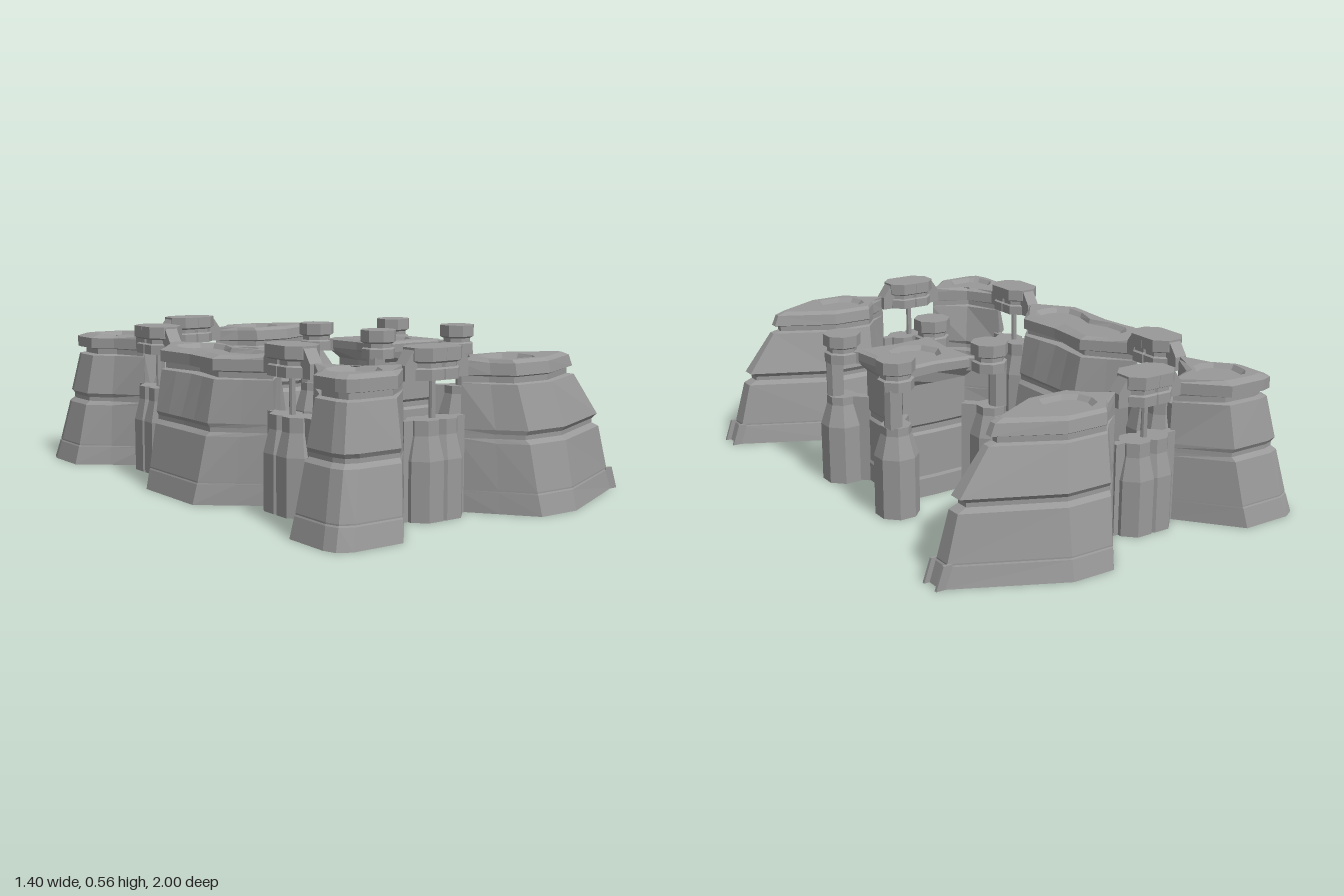
import * as THREE from 'three';

const mat = new THREE.MeshStandardMaterial({ color: 0x999999, flatShading: true, side: THREE.DoubleSide });

function add(parent, geo, name, x = 0, y = 0, z = 0) {
  const m = new THREE.Mesh(geo, mat);
  m.name = name;
  m.position.set(x, y, z);
  parent.add(m);
  return m;
}

// Joins stacked rings of [x, z] points; open below, closed on top
function loft(rings) {
  const n = rings[0].pts.length, pos = [], idx = [];
  let area = 0;
  rings[0].pts.forEach(([x, z], i, a) => {
    const [x2, z2] = a[(i + 1) % n];
    area += x * z2 - x2 * z;
  });
  const tri = (a, b, c) => (area > 0 ? idx.push(a, c, b) : idx.push(a, b, c));
  for (const r of rings) for (const [x, z] of r.pts) pos.push(x, r.y, z);
  for (let k = 0; k + 1 < rings.length; k++) {
    for (let i = 0; i < n; i++) {
      const j = (i + 1) % n, a = k * n, b = a + n;
      tri(a + i, a + j, b + j);
      tri(a + i, b + j, b + i);
    }
  }
  const last = rings[rings.length - 1], o = (rings.length - 1) * n;
  const c = [0, 1].map(q => last.pts.reduce((s, p) => s + p[q], 0) / n);
  pos.push(c[0], last.y, c[1]);
  for (let i = 0; i < n; i++) tri(o + i, o + (i + 1) % n, o + n);
  const g = new THREE.BufferGeometry();
  g.setAttribute('position', new THREE.Float32BufferAttribute(pos, 3));
  g.setIndex(idx);
  g.computeVertexNormals();
  return g;
}

const mix = (a, b, t) => a.map((p, i) => p.map((v, q) => v + (b[i][q] - v) * t));
const circle = (pts, cx, cz, r) => pts.map(([x, z]) => {
  const a = Math.atan2(z - cz, x - cx);
  return [cx + r * Math.cos(a), cz + r * Math.sin(a)];
});

// Height and blend: 0 = base outline, 1 = middle outline, 2 = top outline
const lower = [[0, 0], [0.07, 0.28], [0.075, 0.33], [0.08, 0.33], [0.235, 0.85],
  [0.25, 1.12], [0.265, 1.12], [0.28, 0.95]];
const bluntUpper = [[0.43, 1.5], [0.435, 1.9], [0.455, 1.9], [0.46, 1.4], [0.5, 1.4], [0.512, 2]];
const prowUpper = [[0.43, 1.65], [0.435, 1.85], [0.455, 1.85], [0.46, 1.7], [0.5, 1.8], [0.512, 2]];

// Stepped tower with a sunken deck on its roof
function tower(base, mid, top, upper, rim, floor) {
  const rings = [...lower, ...upper].map(([y, t]) => ({
    y, pts: t <= 1 ? mix(base, mid, t) : mix(mid, top, t - 1)
  }));
  rings.push({ y: 0.512, pts: rim }, { y: 0.495, pts: floor });
  return loft(rings);
}

// Eight-sided turned shape with flats facing the axes
function turned(profile) {
  const g = new THREE.LatheGeometry(profile.map(p => new THREE.Vector2(...p)), 8);
  return g.rotateY(Math.PI / 8);
}

// Gate between two towers, running along x
function gate(name, x, z, turn) {
  const g = new THREE.Group();
  g.name = name;
  g.position.set(x, 0, z);
  g.rotation.y = turn;
  for (const s of [-1, 1]) {
    add(g, turned([[0.078, 0], [0.078, 0.2], [0.058, 0.28], [0.058, 0.33], [0, 0.33]]),
      'gatePillar', s * 0.038);
    add(g, turned([[0, 0.46], [0.068, 0.46], [0.068, 0.495], [0.06, 0.5], [0.06, 0.515],
      [0.076, 0.522], [0.076, 0.565], [0, 0.565]]), 'gateCap', s * 0.03);
  }
  add(g, new THREE.CylinderGeometry(0.011, 0.011, 0.14, 8), 'gatePost', 0, 0.395);
  add(g, new THREE.BoxGeometry(0.26, 0.33, 0.03), 'gateWall', 0, 0.165);
  // Sloped lintel reaching both towers
  const s = new THREE.Shape([[-0.135, 0.46], [0.135, 0.46], [0.135, 0.51], [0.1, 0.558],
    [-0.1, 0.558], [-0.135, 0.51]].map(p => new THREE.Vector2(...p)));
  add(g, new THREE.ExtrudeGeometry(s, { depth: 0.05, bevelEnabled: false }), 'gateLintel', 0, 0, -0.025);
  return g;
}

export function createModel() {
  const root = new THREE.Group();
  root.name = 'fortress';

  for (const s of [1, -1]) {
    const flip = pts => pts.map(([x, z]) => [x, z * s]);

    // Rear corner tower with a rounded outer corner
    const cb = flip([[-0.7, 0.755], [-0.59, 0.665], [-0.48, 0.57], [-0.37, 0.68],
      [-0.27, 0.78], [-0.45, 1], [-0.64, 1], [-0.685, 0.975], [-0.7, 0.93]]);
    const cm = flip([[-0.635, 0.76], [-0.565, 0.685], [-0.48, 0.57], [-0.39, 0.69],
      [-0.272, 0.78], [-0.415, 0.945], [-0.575, 0.945], [-0.62, 0.93], [-0.635, 0.885]]);
    const ct = flip([[-0.58, 0.765], [-0.525, 0.71], [-0.48, 0.58], [-0.425, 0.725],
      [-0.278, 0.78], [-0.41, 0.89], [-0.535, 0.895], [-0.57, 0.885], [-0.58, 0.85]]);
    add(root, tower(cb, cm, ct, bluntUpper, circle(ct, -0.475, 0.785 * s, 0.095),
      circle(ct, -0.475, 0.785 * s, 0.08)), 'cornerTower');

    // Pointed front tower with its prow towards +x
    const pb = flip([[-0.03, 0.78], [0.055, 0.67], [0.14, 0.56], [0.3, 0.56], [0.68, 0.745],
      [0.68, 0.815], [0.3, 1], [0.14, 1], [0.055, 0.89]]);
    const pm = flip([[-0.028, 0.78], [0.05, 0.695], [0.12, 0.615], [0.29, 0.615], [0.598, 0.755],
      [0.598, 0.805], [0.29, 0.945], [0.12, 0.945], [0.05, 0.865]]);
    const pt = flip([[-0.025, 0.78], [0.05, 0.735], [0.1, 0.675], [0.25, 0.675], [0.43, 0.77],
      [0.43, 0.79], [0.25, 0.885], [0.1, 0.885], [0.05, 0.825]]);
    const deck = k => flip([[0.075, 0.78], [0.09, 0.73], [0.14, 0.7], [0.23, 0.7], [0.265, 0.745],
      [0.265, 0.815], [0.23, 0.86], [0.14, 0.86], [0.09, 0.83]]
      .map(([x, z]) => [0.18 + (x - 0.18) * k, 0.78 + (z - 0.78) * k]));
    add(root, tower(pb, pm, pt, prowUpper, deck(1), deck(0.85)), 'prowTower');

    // Twin fins at the foot of the prow
    for (const d of [-0.036, 0.036]) {
      const fin = new THREE.Shape([[0.64, 0], [0.7, 0], [0.672, 0.08], [0.64, 0.08]]
        .map(p => new THREE.Vector2(...p)));
      add(root, new THREE.ExtrudeGeometry(fin, { depth: 0.01, bevelEnabled: false }),
        'prowFin', 0, 0, 0.78 * s + d - 0.005);
    }

    root.add(gate('frontGate', -0.153, 0.78 * s, 0));
    root.add(gate('rearGate', -0.48, 0.455 * s, Math.PI / 2));
  }

  // Long middle tower of the rear wall, mirrored in x and z
  const quad = (tip, [sx, sz], waist) => [
    [0, tip], [sx, sz], [waist, 0], [sx, -sz], [0, -tip], [-sx, -sz], [-waist, 0], [-sx, sz]
  ].map(([x, z]) => [x - 0.48, z]);
  // Two-lobed deck needs extra points, so each outline is subdivided
  const split = pts => pts.flatMap((p, i) => [p, mix([p], [pts[(i + 1) % pts.length]], 0.5)[0]]);
  const mb = split(quad(0.345, [0.218, 0.165], 0.218));
  const mm = split(quad(0.343, [0.16, 0.18], 0.16));
  const mt = split(quad(0.335, [0.115, 0.185], 0.075));
  const eight = k => {
    const q = [[0, 0.235], [0.05, 0.225], [0.085, 0.18], [0.085, 0.1], [0.05, 0]];
    const half = [...q, ...q.slice(0, 4).reverse().map(([x, z]) => [x, -z])];
    return [...half, ...half.slice(1, 8).reverse().map(([x, z]) => [-x, z])]
      .map(([x, z]) => [x * k - 0.48, z * (k + 1) / 2]);
  };
  add(root, tower(mb, mm, mt, bluntUpper, eight(1), eight(0.82)), 'middleTower');

  // Central keep: square with hollowed sides
  const keep = new THREE.Group();
  keep.name = 'keep';
  keep.position.set(0.283, 0, -0.007);
  root.add(keep);
  const star = (corner, side) => Array.from({ length: 8 }, (_, i) => {
    const a = i * Math.PI / 4, r = i % 2 ? corner * Math.SQRT2 : side;
    return [r * Math.cos(a), r * Math.sin(a)];
  });
  const body = [[0, 0.135, 0.14], [0.07, 0.135, 0.14], [0.08, 0.13, 0.135], [0.24, 0.13, 0.135],
    [0.25, 0.122, 0.125], [0.27, 0.122, 0.125], [0.28, 0.13, 0.135], [0.43, 0.13, 0.135],
    [0.47, 0.165, 0.145], [0.5, 0.165, 0.145], [0.508, 0.145, 0.132], [0.508, 0.07, 0.1], [0.49, 0.06, 0.085]];
  add(keep, loft(body.map(([y, c, d]) => ({ y, pts: star(c, d) }))), 'keepBody');

  // Four bottle-shaped pillars tied to the keep's corners
  for (const sx of [-1, 1]) for (const sz of [-1, 1]) {
    add(keep, turned([[0.08, 0], [0.08, 0.22], [0.055, 0.3], [0.055, 0.33], [0, 0.33]]),
      'keepPillar', sx * 0.2, 0, sz * 0.202);
    add(keep, new THREE.CylinderGeometry(0.033, 0.033, 0.14, 8), 'keepPillarNeck', sx * 0.218, 0.395, sz * 0.215);
    add(keep, turned([[0, 0.46], [0.065, 0.46], [0.065, 0.495], [0.055, 0.5], [0.055, 0.515],
      [0.069, 0.522], [0.069, 0.565], [0, 0.565]]), 'keepPillarCap', sx * 0.194, 0, sz * 0.197);
    for (const [y, h] of [[0.165, 0.33], [0.48, 0.045]]) {
      const web = add(keep, new THREE.BoxGeometry(0.1, h, 0.04), 'keepCornerWeb', sx * 0.16, y, sz * 0.16);
      web.rotation.y = -sx * sz * Math.PI / 4;
    }
  }
  return root;
}
